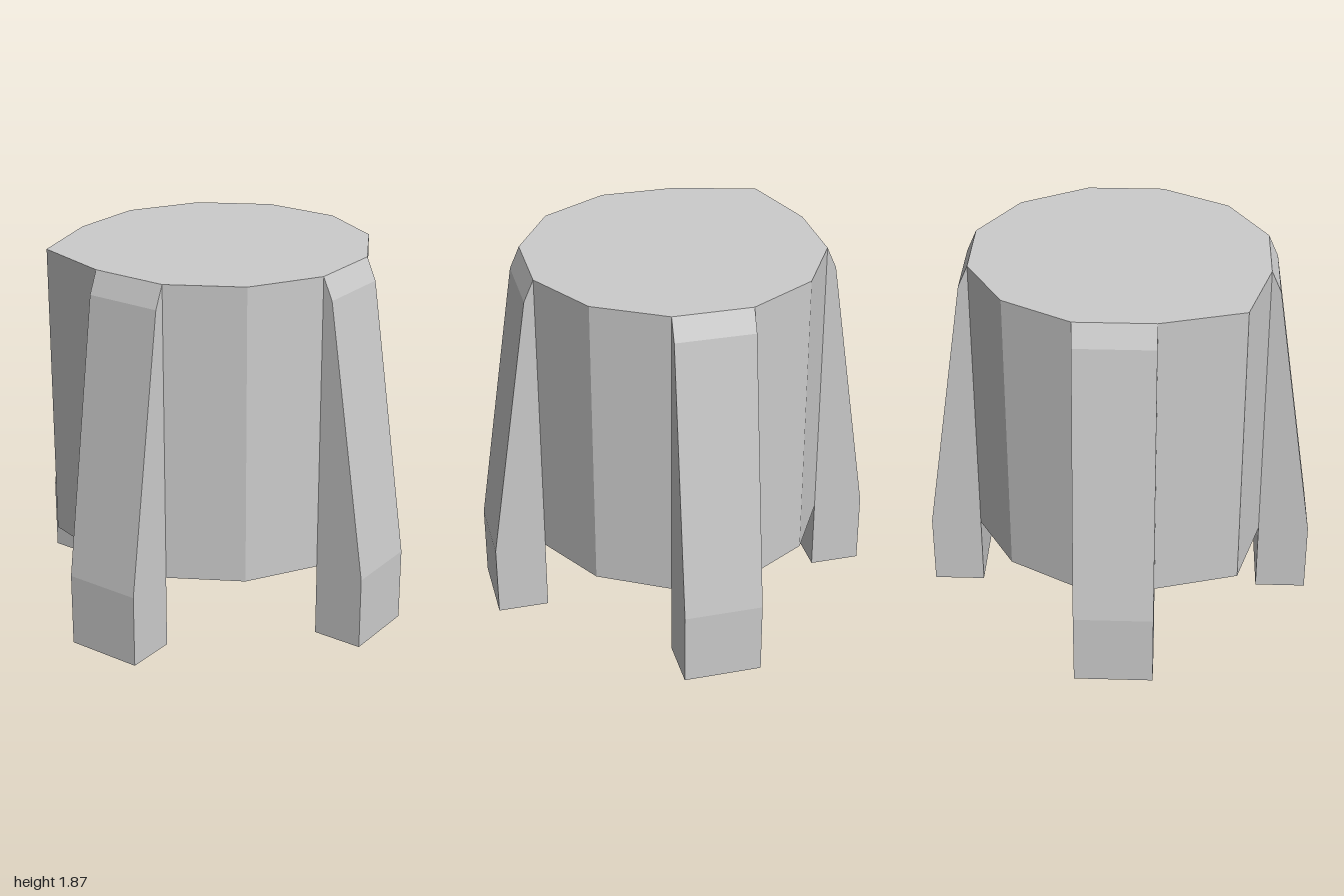
import * as THREE from 'three';

export function createModel() {
  const model = new THREE.Group();
  const material = new THREE.MeshStandardMaterial({ color: 0xcccccc, flatShading: true });
  const radius = 0.75, base = 0.37, top = 1.865, turn = Math.PI / 18;
  const apothem = radius * Math.cos(Math.PI / 12);
  const side = 2 * radius * Math.sin(Math.PI / 12);

  const extrude = (points, depth) => new THREE.ExtrudeGeometry(
    new THREE.Shape(points.map(([x, y]) => new THREE.Vector2(x, y))),
    { depth, bevelEnabled: false });

  // Twelve-sided body, with one corner drawn outwards at the front right
  const outline = [];
  for (let i = 0; i < 12; i++) {
    const a = turn + Math.PI / 12 + (i * Math.PI) / 6;
    const r = i === 10 ? 0.855 : radius;
    outline.push([r * Math.sin(a), -r * Math.cos(a)]);
  }
  const bodyGeometry = extrude(outline, top - base);
  bodyGeometry.rotateX(-Math.PI / 2);
  bodyGeometry.translate(0, base, 0);
  const body = new THREE.Mesh(bodyGeometry, material);
  body.name = 'body';
  model.add(body);

  // Four tapering buttress legs, each set on one side of the body
  const legGeometry = extrude([
    [apothem, 0], [0.981, 0], [0.981, base], [0.773, 1.755], [apothem, top],
  ], side);
  legGeometry.translate(0, 0, -side / 2);
  ['leftLeg', 'backLeg', 'rightLeg', 'frontLeg'].forEach((name, i) => {
    const leg = new THREE.Mesh(legGeometry, material);
    leg.name = name;
    leg.rotation.y = turn + (i * Math.PI) / 2;
    model.add(leg);
  });

  return model;
}
